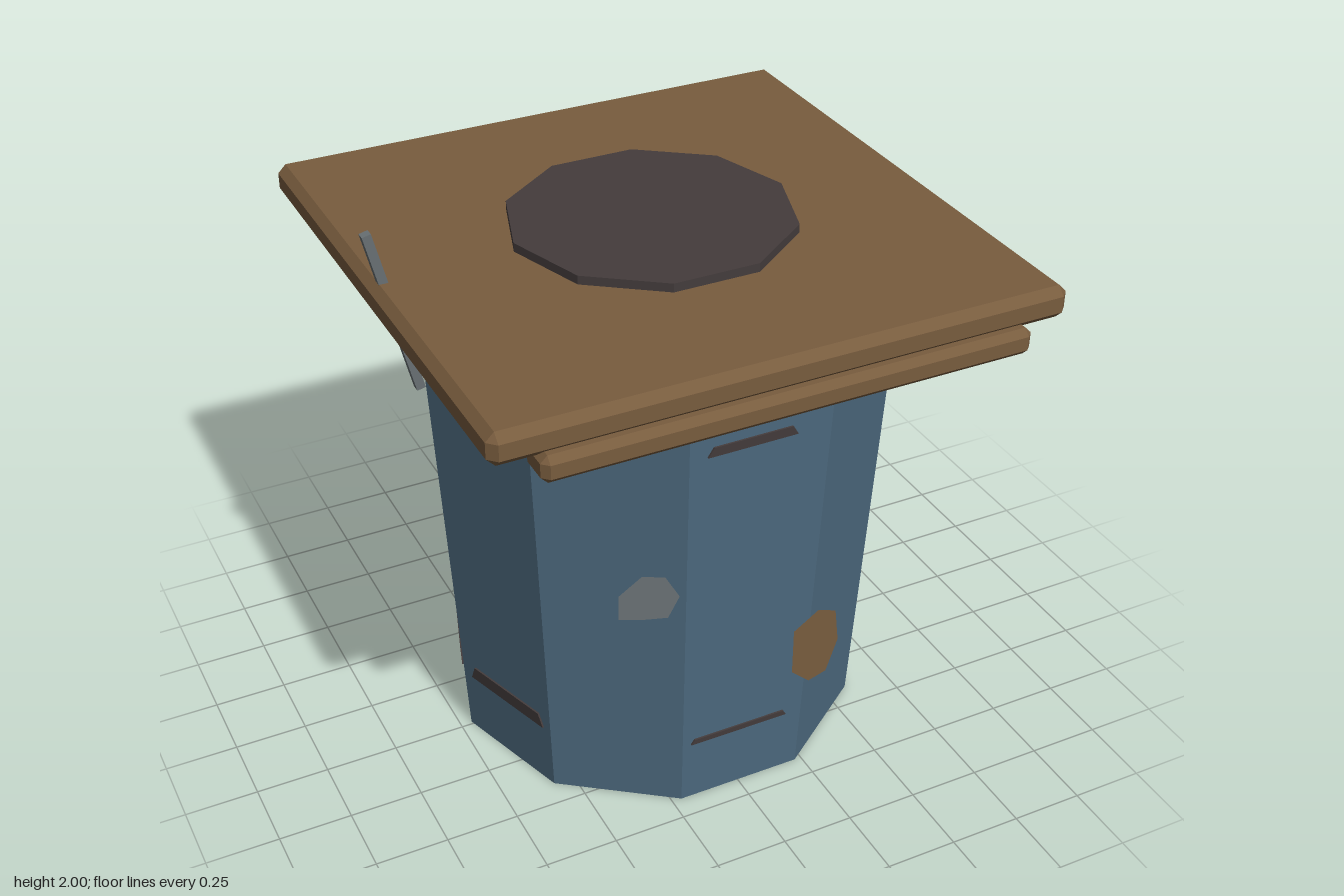
import * as THREE from 'three';
import { ConvexGeometry } from 'three/addons/geometries/ConvexGeometry.js';

const mat = (name, color, extra = {}) => {
  const m = new THREE.MeshStandardMaterial({ color, flatShading: true, ...extra });
  m.name = name;
  return m;
};

// Box with all edges chamfered by c
function chamferBox(w, h, d, c) {
  const half = [w / 2, h / 2, d / 2];
  const pts = [];
  for (const sx of [-1, 1]) for (const sy of [-1, 1]) for (const sz of [-1, 1]) {
    for (let axis = 0; axis < 3; axis++) {
      const p = half.map((v, i) => (i === axis ? v : v - c));
      pts.push(new THREE.Vector3(sx * p[0], sy * p[1], sz * p[2]));
    }
  }
  return new ConvexGeometry(pts);
}

const polygon = (pts) => new THREE.Shape(pts.map(([x, y]) => new THREE.Vector2(x, y)));

export function createModel() {
  const group = new THREE.Group();
  const blue = mat('bluePaint', 0x4d6a7f);
  const wood = mat('brownWood', 0x785c3e);
  const dark = mat('darkMetal', 0x443c3c);
  const grey = mat('greyMetal', 0x687073);
  const greyPatch = grey;
  greyPatch.side = THREE.DoubleSide;
  wood.side = THREE.DoubleSide;

  const add = (name, geo, material, x = 0, y = 0, z = 0, parent = group) => {
    const mesh = new THREE.Mesh(geo, material);
    mesh.name = name;
    mesh.position.set(x, y, z);
    parent.add(mesh);
    return mesh;
  };

  // Tapered ten-sided body, with corners on the x axis
  const H = 1.74, R0 = 0.715, R1 = 0.81, CX = 0.005, CZ = -0.012;
  add('body', new THREE.CylinderGeometry(R1, R0, H, 10).rotateY(Math.PI / 2), blue, CX, H / 2, CZ);

  // Square lid, front lip and round cap
  add('lid', chamferBox(1.895, 0.11, 1.895, 0.028), wood, 0.003, 1.775, -0.013);
  add('frontLip', chamferBox(1.61, 0.09, 0.135, 0.022), wood, 0.003, 1.69, 0.897);
  add('lidCap', new THREE.CylinderGeometry(0.475, 0.475, 0.04, 10).rotateY(Math.PI / 2), dark, 0.005, 1.84, -0.015);

  // Leaning rod on the right side
  const rod = add('rod', new THREE.BoxGeometry(0.03, 0.585, 0.03), grey, -0.876, 1.716, -0.012);
  rod.rotation.z = 0.235;

  // Trapezoid slats laid on the sloping walls; azimuth is measured from +z towards +x
  const apothem = Math.cos(Math.PI / 10);
  const tilt = Math.atan((R1 - R0) * apothem / H);
  function slat(name, azimuth, y, width, height, shift = 0) {
    const holder = new THREE.Group();
    holder.position.set(CX, 0, CZ);
    holder.rotation.y = THREE.MathUtils.degToRad(azimuth);
    group.add(holder);
    const w = width / 2, inset = Math.min(0.02, height * 0.6);
    const geo = new THREE.ExtrudeGeometry(
      polygon([[-w, 0], [w, 0], [w - inset, height], [-w + inset, height]]),
      { depth: 0.008, bevelEnabled: false });
    const wall = (R0 + (R1 - R0) * y / H) * apothem;
    add(name, geo, dark, shift, y, wall - 0.002, holder).rotation.x = tilt;
  }
  slat('frontUpperSlat', 0, 1.43, 0.31, 0.033, -0.03);
  slat('frontLowerSlat', 0, 0.245, 0.36, 0.02, -0.015);
  for (const azimuth of [72, 108]) {
    slat('leftUpperSlat', azimuth, 1.43, 0.33, 0.03, -0.015);
    slat('leftLowerSlat', azimuth, 0.245, 0.37, 0.052, -0.008);
    slat('rightLowerSlat', -azimuth, 0.245, 0.37, 0.052, 0.008);
  }

  // Flat patches standing just off the front
  add('greyPatch', new THREE.ShapeGeometry(polygon([
    [-0.48, 0.92], [-0.39, 0.89], [-0.31, 0.87], [-0.27, 0.94],
    [-0.32, 1.03], [-0.40, 1.06], [-0.48, 1.01]])), greyPatch, 0, 0, 0.745);
  add('brownPatch', new THREE.ShapeGeometry(polygon([
    [0.15, 0.48], [0.215, 0.42], [0.28, 0.44], [0.32, 0.56],
    [0.305, 0.685], [0.24, 0.71], [0.15, 0.65]])), wood, 0, 0, 0.745);

  return group;
}
